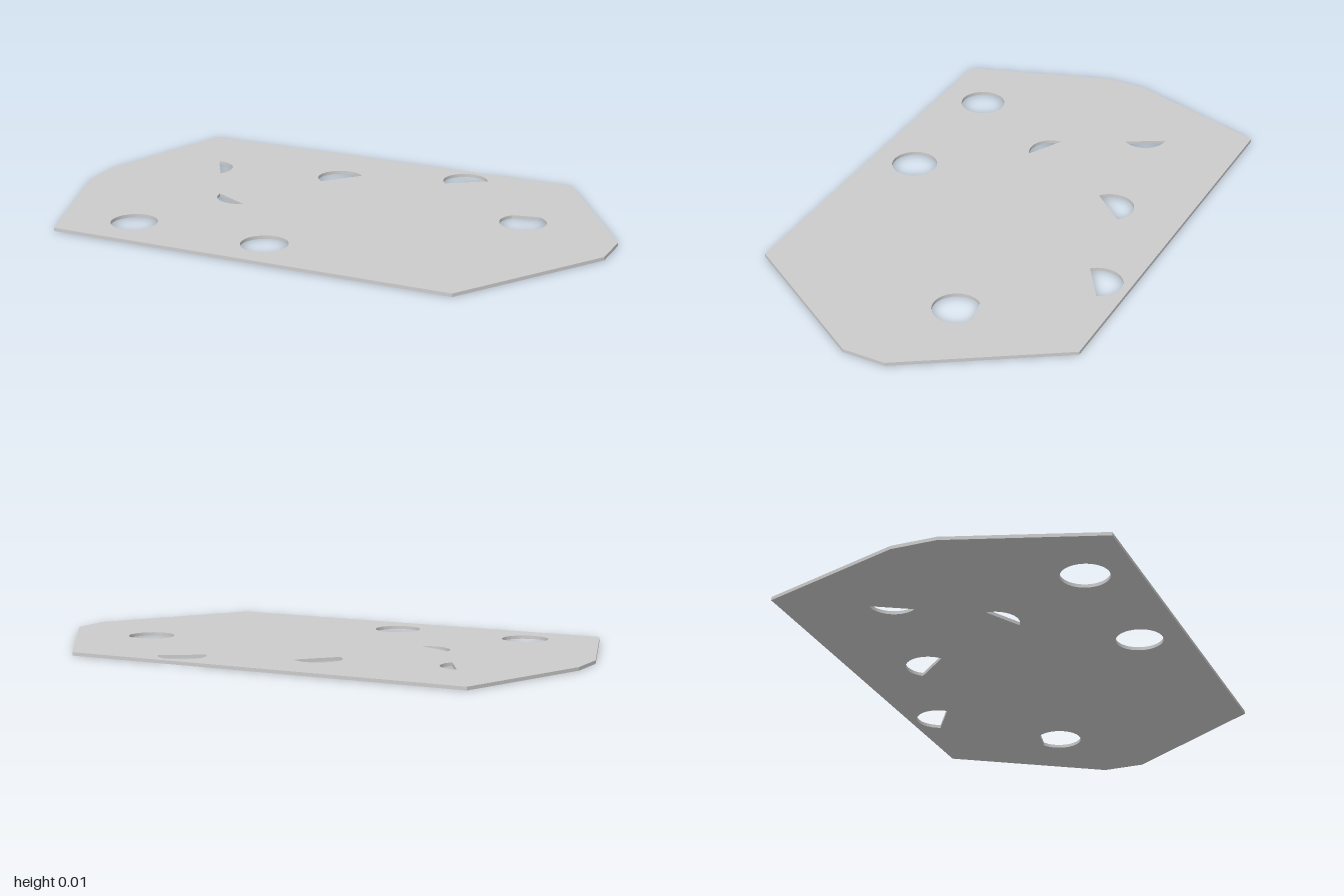
import * as THREE from 'three';

const THICKNESS = 0.012;
const HOLE_RADIUS = 0.083;

// Plate outline as [x, z]
const OUTLINE = [
  [-0.826, 0.6], [0.662, 0.6], [1, 0.078], [1, -0.078],
  [0.662, -0.6], [-0.826, -0.6], [-1, -0.08], [-1, 0.08],
];

// Holes: centre x, z, then start and end of the arc in degrees; a chord closes partial arcs
const HOLES = [
  [-0.604, 0.428, 0, 360],
  [-0.088, 0.438, 0, 360],
  [0.636, -0.137, 137, 427],
  [0.283, -0.489, 20, 226],
  [-0.158, -0.329, 40, 236],
  [-0.658, -0.235, -36, 96],
  [-0.396, 0.027, 180, 305],
];

function holePath([x, z, start, end]) {
  const path = new THREE.Path();
  path.absarc(x, -z, HOLE_RADIUS, THREE.MathUtils.degToRad(start), THREE.MathUtils.degToRad(end), false);
  path.closePath();
  return path;
}

export function createModel() {
  const group = new THREE.Group();
  group.name = 'perforatedPlate';

  // Flat plate, drawn in plan and laid down on the ground
  const shape = new THREE.Shape(OUTLINE.map(([x, z]) => new THREE.Vector2(x, -z)));
  shape.holes = HOLES.map(holePath);
  const geometry = new THREE.ExtrudeGeometry(shape, {
    depth: THICKNESS, bevelEnabled: false, curveSegments: 40,
  });
  geometry.rotateX(-Math.PI / 2);

  const plate = new THREE.Mesh(geometry, new THREE.MeshStandardMaterial({ color: 0xcccccc }));
  plate.name = 'plate';
  group.add(plate);
  return group;
}
